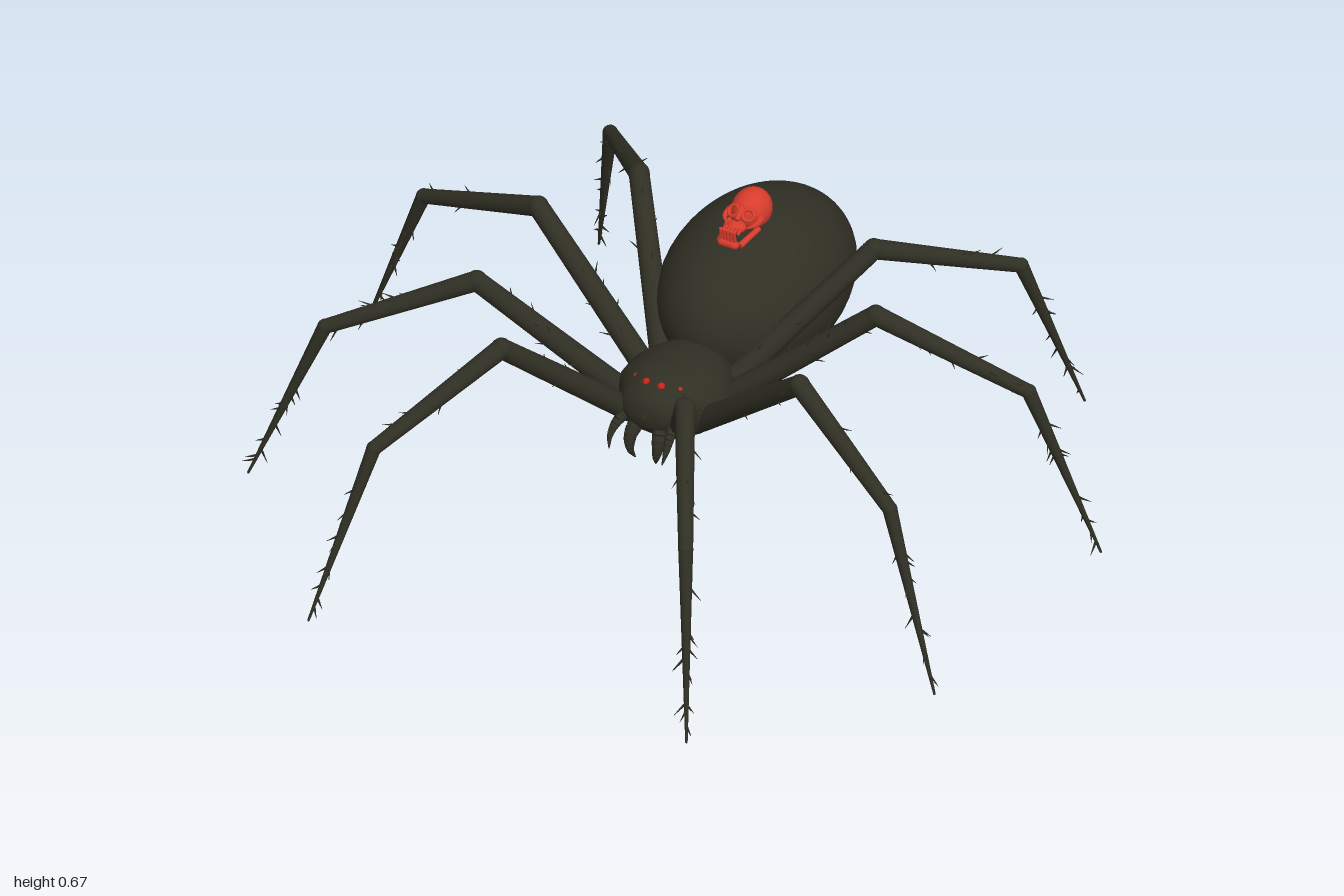
import * as THREE from 'three';
import { mergeGeometries } from 'three/addons/utils/BufferGeometryUtils.js';

const V = (x, y, z) => new THREE.Vector3(x, y, z);
const UP = V(0, 1, 0);

function makeRandom(seed) {
  return () => (seed = (seed * 16807) % 2147483647) / 2147483647;
}

// Tapered cylinder from a to b
function limb(a, b, ra, rb, sides = 14) {
  const d = b.clone().sub(a);
  const g = new THREE.CylinderGeometry(rb, ra, d.length(), sides);
  g.applyQuaternion(new THREE.Quaternion().setFromUnitVectors(UP, d.clone().normalize()));
  const m = a.clone().add(b).multiplyScalar(0.5);
  return g.translate(m.x, m.y, m.z);
}

function ball(c, rx, ry = rx, rz = rx, w = 16, h = 12) {
  return new THREE.SphereGeometry(1, w, h).scale(rx, ry, rz).translate(c.x, c.y, c.z);
}

// Curved horn whose radius tapers to a point
function horn(points, r, steps = 10) {
  const curve = new THREE.CatmullRomCurve3(points);
  const parts = [ball(points[0], r)];
  for (let i = 0; i < steps; i++) {
    const rad = t => r * (1 - 0.92 * t ** 1.5);
    const t0 = i / steps, t1 = (i + 1) / steps;
    parts.push(limb(curve.getPoint(t0), curve.getPoint(t1), rad(t0), rad(t1), 10));
  }
  return mergeGeometries(parts);
}

// Elliptical cross-sections [z, centre y, half width, half height] joined along z
function loft(sections, sides = 32, steps = 28) {
  const ring = new THREE.CatmullRomCurve3(sections.map(s => V(s[0], s[1], 0)));
  const size = new THREE.CatmullRomCurve3(sections.map(s => V(s[2], s[3], 0)));
  const pos = [], idx = [];
  for (let i = 0; i <= steps; i++) {
    const c = ring.getPoint(i / steps), s = size.getPoint(i / steps);
    for (let j = 0; j < sides; j++) {
      const a = (j / sides) * Math.PI * 2;
      pos.push(Math.cos(a) * s.x, c.y + Math.sin(a) * s.y, c.x);
      if (i < steps) {
        const k = i * sides + j, n = i * sides + (j + 1) % sides;
        idx.push(k, n, n + sides, k, n + sides, k + sides);
      }
    }
  }
  const g = new THREE.BufferGeometry();
  g.setAttribute('position', new THREE.Float32BufferAttribute(pos, 3));
  g.setIndex(idx);
  g.computeVertexNormals();
  return g;
}

// Jointed leg with bristles growing toward the tip
function legGeometry(joints, radii, random) {
  const parts = [];
  const bristleCounts = [10, 7, 14];
  for (let i = 0; i < 3; i++) {
    const a = joints[i], b = joints[i + 1];
    parts.push(limb(a, b, radii[i], radii[i + 1]));
    parts.push(ball(b, radii[i + 1] * 1.04, undefined, undefined, 14, 10));
    const dir = b.clone().sub(a).normalize();
    const side = V(0, 0, 1).cross(dir).normalize();
    for (let k = 0; k < bristleCounts[i]; k++) {
      const t = 0.2 + 0.75 * random();
      const out = side.clone().applyAxisAngle(dir, random() * Math.PI * 2);
      const r = radii[i] + (radii[i + 1] - radii[i]) * t;
      const root = a.clone().lerp(b, t).addScaledVector(out, r * 0.7);
      const len = 0.022 + 0.014 * random();
      const tip = root.clone().addScaledVector(out, len * 0.75).addScaledVector(dir, len * 0.8);
      parts.push(limb(root, tip, 0.0035, 0.0004, 5));
    }
  }
  return mergeGeometries(parts);
}

export function createModel() {
  const model = new THREE.Group();
  const body = new THREE.MeshStandardMaterial({ color: 0x2f2f24 });
  body.name = 'dark olive shell';
  const red = new THREE.MeshStandardMaterial({ color: 0xd83c2c });
  red.name = 'bright red';
  const eyeRed = new THREE.MeshStandardMaterial({ color: 0xc82418 });
  eyeRed.name = 'eye red';
  const add = (name, geometry, material, parent = model) => {
    const mesh = new THREE.Mesh(geometry, material);
    mesh.name = name;
    parent.add(mesh);
    return mesh;
  };

  // Body
  add('abdomen', ball(V(0, 0.39, -0.43), 0.215, 0.204, 0.308, 48, 32), body);
  add('headAndThorax', loft([
    [-0.21, 0.31, 0.03, 0.03], [-0.18, 0.31, 0.07, 0.062], [-0.12, 0.31, 0.112, 0.088],
    [-0.05, 0.312, 0.137, 0.098], [0.01, 0.316, 0.132, 0.099], [0.06, 0.325, 0.1, 0.083],
    [0.1, 0.33, 0.075, 0.056], [0.118, 0.328, 0.045, 0.032], [0.124, 0.326, 0.002, 0.002],
  ]), body);

  // Legs: hip, knee, ankle and tip on the left side, mirrored to the right
  const legs = [
    ['frontLeg', V(0.07, 0.29, 0.06), V(0.25, 0.6, 0.37), V(0.425, 0.44, 0.68), V(0.515, 0.005, 0.838)],
    ['secondLeg', V(0.1, 0.29, 0.01), V(0.44, 0.595, 0.15), V(0.77, 0.44, 0.3), V(0.935, 0.005, 0.378)],
    ['thirdLeg', V(0.1, 0.29, -0.09), V(0.46, 0.595, -0.188), V(0.825, 0.44, -0.282), V(0.997, 0.005, -0.325)],
    ['backLeg', V(0.08, 0.29, -0.12), V(0.32, 0.59, -0.43), V(0.56, 0.445, -0.72), V(0.662, 0.005, -0.848)],
  ];
  const random = makeRandom(4711);
  for (const side of [1, -1]) {
    const prefix = side > 0 ? 'left ' : 'right ';
    const m = (x, y, z) => V(side * x, y, z);
    for (const [name, ...joints] of legs) {
      const points = joints.map(p => m(p.x, p.y, p.z));
      add(prefix + name, legGeometry(points, [0.03, 0.025, 0.018, 0.003], random), body);
    }

    // Mouthparts
    add(prefix + 'fang', horn([m(0.03, 0.3, 0.09), m(0.038, 0.265, 0.118),
      m(0.036, 0.23, 0.125), m(0.028, 0.2, 0.113)], 0.02), body);
    add(prefix + 'feeler', horn([m(0.06, 0.31, 0.08), m(0.072, 0.295, 0.125),
      m(0.076, 0.27, 0.15), m(0.072, 0.24, 0.163)], 0.015), body);

    // Eyes
    for (const [x, y, z, r] of [[0.057, 0.385, 0.05, 0.011], [0.05, 0.365, 0.086, 0.012],
      [0.02, 0.396, 0.072, 0.01], [0.017, 0.364, 0.101, 0.011]]) {
      add(prefix + 'eye', ball(m(x, y, z), r), eyeRed);
    }
  }

  // Skull set into the top of the abdomen
  const skull = new THREE.Group();
  skull.name = 'skull';
  model.add(skull);
  add('cranium', ball(V(0, 0.612, -0.408), 0.048, 0.052, 0.055, 28, 20), red, skull);
  add('noseBridge', limb(V(0, 0.64, -0.36), V(0, 0.624, -0.332), 0.009, 0.006, 10), red, skull);
  add('upperJaw', ball(V(0, 0.606, -0.332), 0.025, 0.014, 0.02), red, skull);
  for (const side of [1, -1]) {
    const socket = add('eyeSocketRim', new THREE.TorusGeometry(0.014, 0.005, 8, 18), red, skull);
    socket.position.set(side * 0.02, 0.632, -0.354);
    socket.rotation.set(-0.75, side * 0.3, 0);
    add('cheekbone', horn([V(side * 0.042, 0.615, -0.375), V(side * 0.042, 0.612, -0.35),
      V(side * 0.026, 0.61, -0.328)], 0.009, 6), red, skull);
    add('jawBranch', limb(V(side * 0.04, 0.59, -0.37), V(side * 0.027, 0.578, -0.3), 0.007, 0.008, 10), red, skull);
  }
  add('chin', new THREE.CapsuleGeometry(0.011, 0.034, 6, 12).rotateZ(Math.PI / 2)
    .translate(0, 0.582, -0.292), red, skull);
  for (let i = -2; i <= 2; i++) {
    const z = -0.315 - Math.abs(i) * 0.002;
    add('upperTooth', limb(V(i * 0.009, 0.612, z), V(i * 0.009, 0.602, z + 0.012), 0.004, 0.004, 8), red, skull);
    add('lowerTooth', limb(V(i * 0.009, 0.585, -0.292), V(i * 0.009, 0.622, -0.288), 0.0045, 0.0045, 8), red, skull);
  }
  return model;
}
